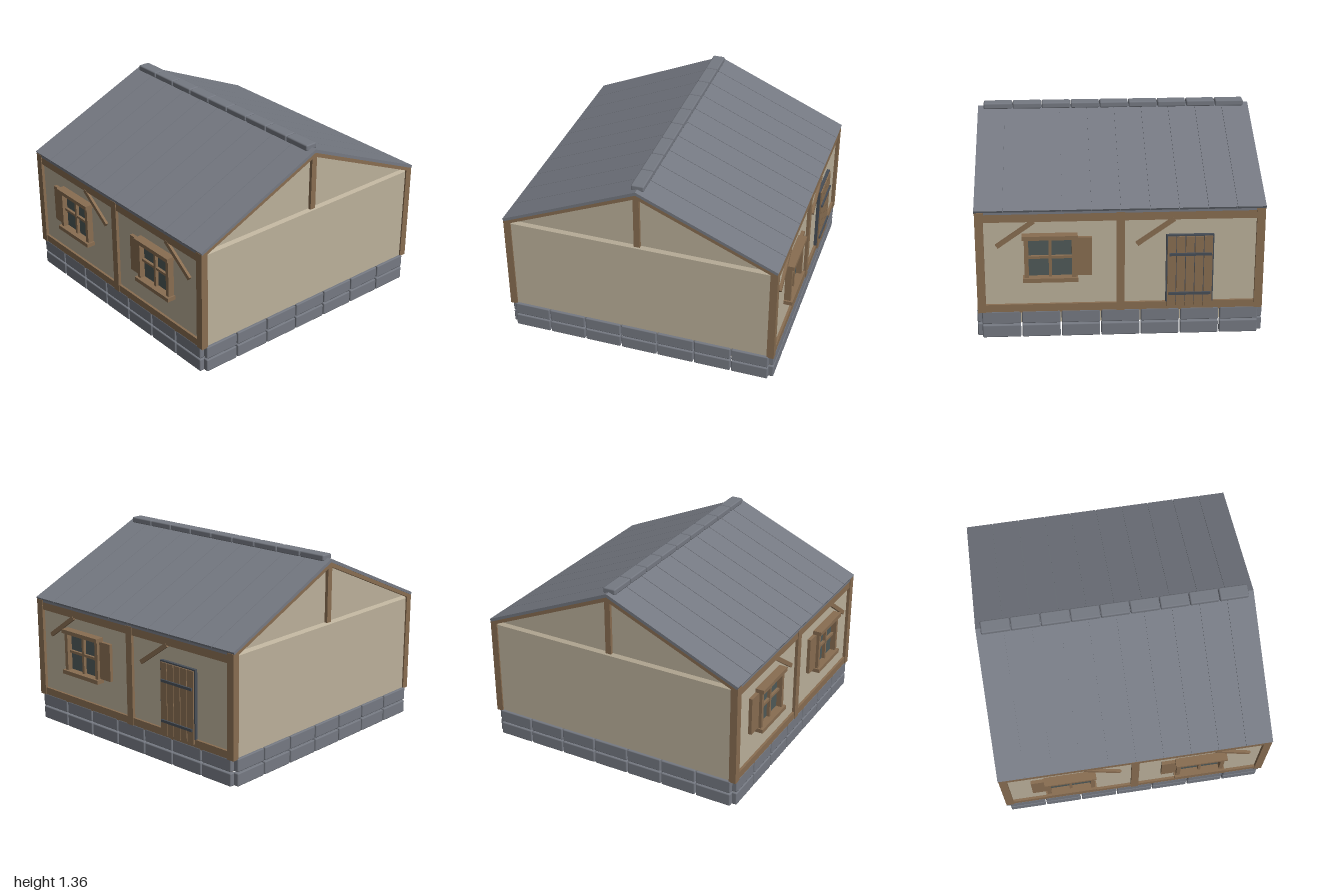
import * as THREE from 'three';
import { RoundedBoxGeometry } from 'three/addons/geometries/RoundedBoxGeometry.js';

const mat = (name, color) => {
  const m = new THREE.MeshStandardMaterial({ color });
  m.name = name;
  return m;
};

export function createModel() {
  const house = new THREE.Group();
  house.name = 'house';
  const plaster = mat('plaster', 0xbbb09a);
  const wood = mat('wood', 0x886d51);
  const slate = mat('slate', 0x757982);
  const glass = mat('glass', 0x4f5958);
  const iron = mat('iron', 0x474e57);

  const add = (parent, name, geometry, material) => {
    const m = new THREE.Mesh(geometry, material);
    m.name = name;
    parent.add(m);
    return m;
  };
  // Box given by its limits on each axis
  const box = (parent, name, material, x0, x1, y0, y1, z0, z1, round = 0) => {
    const size = [Math.abs(x1 - x0), y1 - y0, z1 - z0];
    const g = round ? new RoundedBoxGeometry(...size, 1, round) : new THREE.BoxGeometry(...size);
    const m = add(parent, name, g, material);
    m.position.set((x0 + x1) / 2, (y0 + y1) / 2, (z0 + z1) / 2);
    return m;
  };
  // Closed outline extruded to a depth
  const extrude = (points, depth) => new THREE.ExtrudeGeometry(
    new THREE.Shape(points.map(([a, b]) => new THREE.Vector2(a, b))), { depth, bevelEnabled: false });
  // Outline in x and y, extruded from z0 to z1
  const prism = (name, material, points, z0, z1) =>
    add(house, name, extrude(points, z1 - z0).translate(0, 0, z0), material);

  // Foundation: two courses of seven stones on each side, open at the corners
  const foundation = new THREE.Group();
  foundation.name = 'foundation';
  house.add(foundation);
  const step = 0.265;
  for (let side = 0; side < 4; side++) {
    const run = new THREE.Group();
    run.name = 'stoneRun';
    run.rotation.y = side * Math.PI / 2;
    foundation.add(run);
    for (const y of [0, 0.1]) {
      for (let i = 0; i < 7; i++) {
        const x = (i - 3.5) * step;
        box(run, 'stone', slate, x + 0.004, x + step - 0.004, y, y + 0.091, 0.91, 0.957, 0.008);
      }
    }
  }

  // Plaster walls, reaching down behind the upper stones, with a sloping ledge below each gable
  const walls = extrude([
    [-0.92, 0.1], [0.92, 0.1], [0.92, 0.188], [0.94, 0.188], [0.94, 0.877], [0.924, 0.897],
    [-0.924, 0.897], [-0.94, 0.877], [-0.94, 0.188], [-0.92, 0.188],
  ], 1.876);
  add(house, 'walls', walls.translate(0, 0, -0.938).rotateY(Math.PI / 2), plaster);
  prism('gableWalls', plaster, [[-0.92, 0.89], [0.92, 0.89], [0, 1.3]], -0.924, 0.924);

  // Gable rafters and king posts
  const chevron = (top, bottom, x, topEnd, bottomEnd) => [
    [-x, bottomEnd], [0, bottom], [x, bottomEnd], [x, topEnd], [0, top], [-x, topEnd]];
  for (const s of [-1, 1]) {
    const z0 = s > 0 ? 0.89 : -0.95;
    prism('gableRafters', wood, chevron(1.316, 1.282, 0.957, 0.9, 0.868), z0, z0 + 0.06);
    const post = s > 0 ? [0.89, 0.946] : [-0.946, -0.89];
    box(house, 'kingPost', wood, -0.021, 0.021, 0.895, 1.29, ...post);
  }

  // Roof deck, ten slabs on each slope, ridge caps
  prism('roofDeck', slate, chevron(1.326, 1.296, 0.957, 0.908, 0.885), -0.89, 0.89);
  for (const s of [-1, 1]) {
    for (let i = 0; i < 10; i++) {
      const z = -0.955 + i * 0.191;
      prism('roofSlab', slate,
        [[0, 1.312], [s * 0.955, 0.896], [s * 0.964, 0.914], [0, 1.336]], z + 0.002, z + 0.189);
    }
  }
  for (let i = 0; i < 9; i++) {
    const z = -0.92 + i * 0.204;
    box(house, 'ridgeCap', slate, -0.045, 0.045, 1.318, 1.361, z + 0.002, z + 0.202, 0.01);
  }

  // Window with sill, lintel, glazing bars and one open shutter
  const addWindow = (s, z) => {
    const w = new THREE.Group();
    w.name = 'window';
    house.add(w);
    const b = (name, m, x0, x1, y0, y1, z0, z1) => box(w, name, m, s * x0, s * x1, y0, y1, z + z0, z + z1);
    b('pane', glass, 0.936, 0.944, 0.44, 0.72, -0.15, 0.15);
    b('frameSide', wood, 0.93, 0.983, 0.44, 0.72, 0.142, 0.17);
    b('frameSide', wood, 0.93, 0.983, 0.44, 0.72, -0.17, -0.142);
    b('glazingBar', wood, 0.935, 0.966, 0.44, 0.72, -0.01, 0.01);
    b('glazingBar', wood, 0.935, 0.963, 0.573, 0.591, -0.145, 0.145);
    b('sill', wood, 0.93, 1, 0.417, 0.446, -0.182, 0.182);
    b('lintel', wood, 0.93, 1, 0.717, 0.745, -0.182, 0.182);
    b('shutter', wood, 0.93, 0.962, 0.448, 0.717, -0.275, -0.168);
  };

  // Timber framing of each long side
  for (const s of [-1, 1]) {
    const b = (name, y0, y1, z0, z1, out) => box(house, name, wood, s * 0.91, s * out, y0, y1, z0, z1);
    b('cornerPost', 0.185, 0.9, 0.895, 0.95, 0.96);
    b('cornerPost', 0.185, 0.9, -0.95, -0.895, 0.96);
    b('middlePost', 0.185, 0.89, -0.027, 0.027, 0.96);
    b('bottomBeam', 0.182, 0.24, -0.9, 0.9, 0.955);
    b('topBeam', 0.83, 0.887, -0.9, 0.9, 0.955);
    b('wallPlate', 0.887, 0.902, -0.9, 0.9, 0.948);
    for (const z of [0.69, -0.23]) {
      const brace = box(house, 'brace', wood, s * 0.92, s * 0.957, -0.015, 0.015, -0.15, 0.15);
      brace.position.y = 0.746;
      brace.position.z = z;
      brace.rotation.x = Math.atan2(0.17, 0.24);
    }
    addWindow(s, 0.463);
  }
  addWindow(-1, -0.463);

  // Plank door on the left side with iron surround and straps
  const door = new THREE.Group();
  door.name = 'door';
  house.add(door);
  box(door, 'surround', iron, 0.93, 0.96, 0.24, 0.722, -0.616, -0.3);
  for (let i = 0; i < 5; i++) {
    const z = -0.609 + i * 0.0605;
    box(door, 'plank', wood, 0.935, 0.969, i % 2 ? 0.213 : 0.207, 0.712, z + 0.002, z + 0.0575);
  }
  for (const y of [0.306, 0.588]) box(door, 'strap', iron, 0.96, 0.98, y - 0.009, y + 0.009, -0.6, -0.32);

  return house;
}
